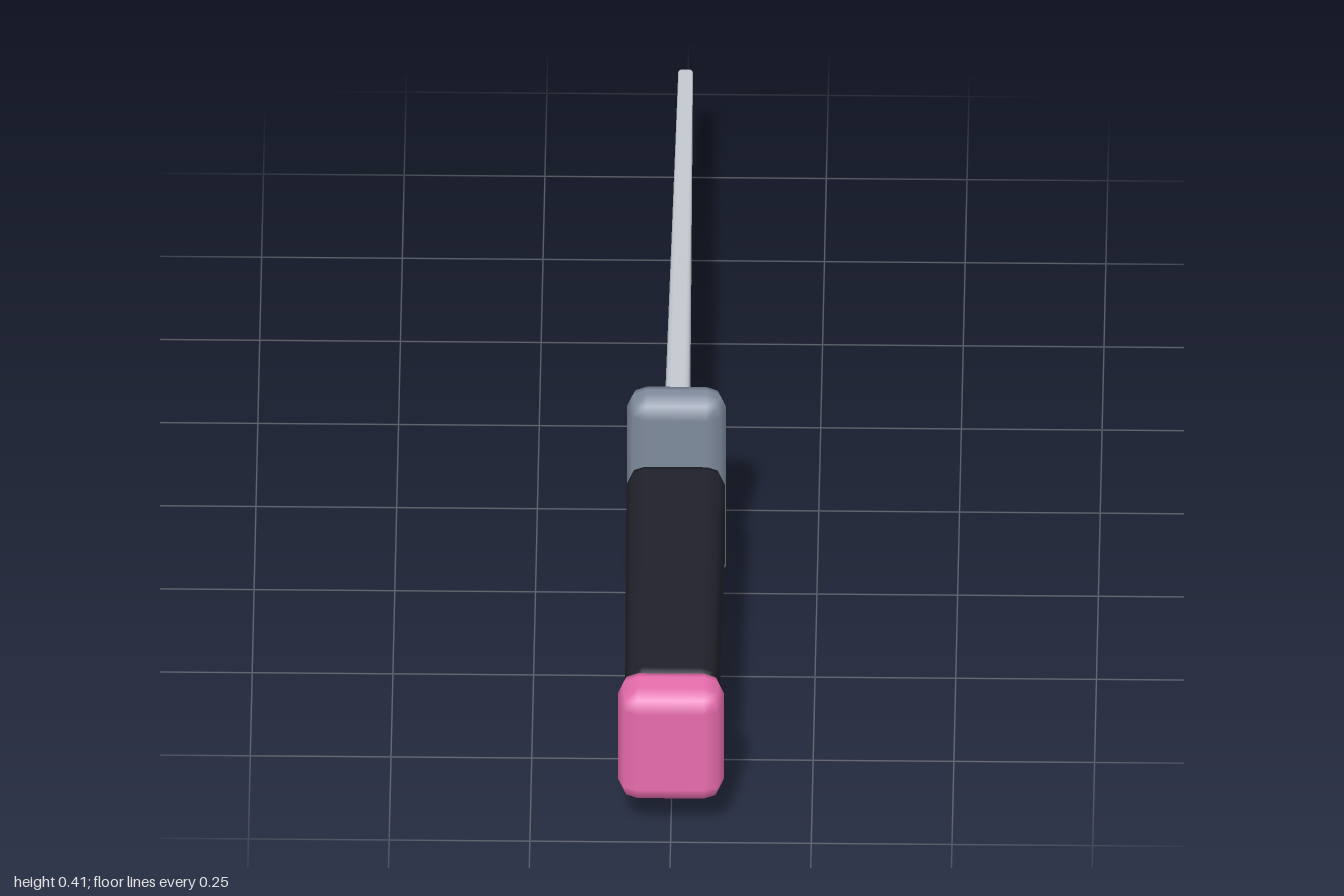
import * as THREE from 'three';
import { RoundedBoxGeometry } from 'three/addons/geometries/RoundedBoxGeometry.js';

const material = (name, color) => {
  const m = new THREE.MeshStandardMaterial({ color });
  m.name = name;
  return m;
};

// Rounded bar along z, running from section a to section b.
// Each section is { z, w: width, y0: bottom, y1: top }.
function taperedBar(name, mat, a, b, radius) {
  const length = a.z - b.z;
  const height = a.y1 - a.y0;
  const geo = new RoundedBoxGeometry(a.w, height, length, 1, radius);
  const p = geo.attributes.position;
  const n = geo.attributes.normal;
  const slopeW = (a.w - b.w) / length / a.w;
  const lerp = THREE.MathUtils.lerp;
  const normal = new THREE.Vector3();
  for (let i = 0; i < p.count; i++) {
    const t = 0.5 - p.getZ(i) / length;
    const w = lerp(a.w, b.w, t);
    const y0 = lerp(a.y0, b.y0, t);
    const y1 = lerp(a.y1, b.y1, t);
    const x = p.getX(i), y = p.getY(i), z = p.getZ(i);
    const v = y / height + 0.5;
    // Carry the smooth normals through the taper
    const sx = w / a.w, sy = (y1 - y0) / height;
    const dyDz = -(lerp(b.y0, b.y1, v) - lerp(a.y0, a.y1, v)) / length;
    const nx = n.getX(i) / sx, ny = n.getY(i) / sy;
    normal.set(nx, ny, n.getZ(i) - nx * x * slopeW - ny * dyDz).normalize();
    n.setXYZ(i, normal.x, normal.y, normal.z);
    p.setXYZ(i, x * sx, lerp(y0, y1, v), z + (a.z + b.z) / 2);
  }
  const mesh = new THREE.Mesh(geo, mat);
  mesh.name = name;
  return mesh;
}

export function createModel() {
  const steel = material('pale steel', 0xc6cbd3);
  const slate = material('slate grey', 0x7f8b9c);
  const black = material('dark grip', 0x20202b);
  const pink = material('pink', 0xe76cac);
  const cyan = material('cyan', 0x22c3dc);

  const group = new THREE.Group();
  group.name = 'dagger';
  group.add(
    taperedBar('pommel', pink,
      { z: 1.0, w: 0.188, y0: 0.079, y1: 0.314 },
      { z: 0.897, w: 0.188, y0: 0.079, y1: 0.314 }, 0.035),
    taperedBar('grip', black,
      { z: 0.91, w: 0.164, y0: 0.102, y1: 0.297 },
      { z: 0.27, w: 0.176, y0: 0.094, y1: 0.308 }, 0.03),
    taperedBar('guard', slate,
      { z: 0.25, w: 0.176, y0: 0, y1: 0.413 },
      { z: 0.17, w: 0.176, y0: 0, y1: 0.413 }, 0.035),
    taperedBar('blade', steel,
      { z: 0.2, w: 0.045, y0: 0.104, y1: 0.341 },
      { z: -1.0, w: 0.026, y0: 0.206, y1: 0.239 }, 0.01),
    // Thin strip floating below the cutting edge
    taperedBar('edgeStrip', cyan,
      { z: 0.125, w: 0.026, y0: 0.097, y1: 0.122 },
      { z: -0.94, w: 0.018, y0: 0.104, y1: 0.121 }, 0.004),
  );
  return group;
}
